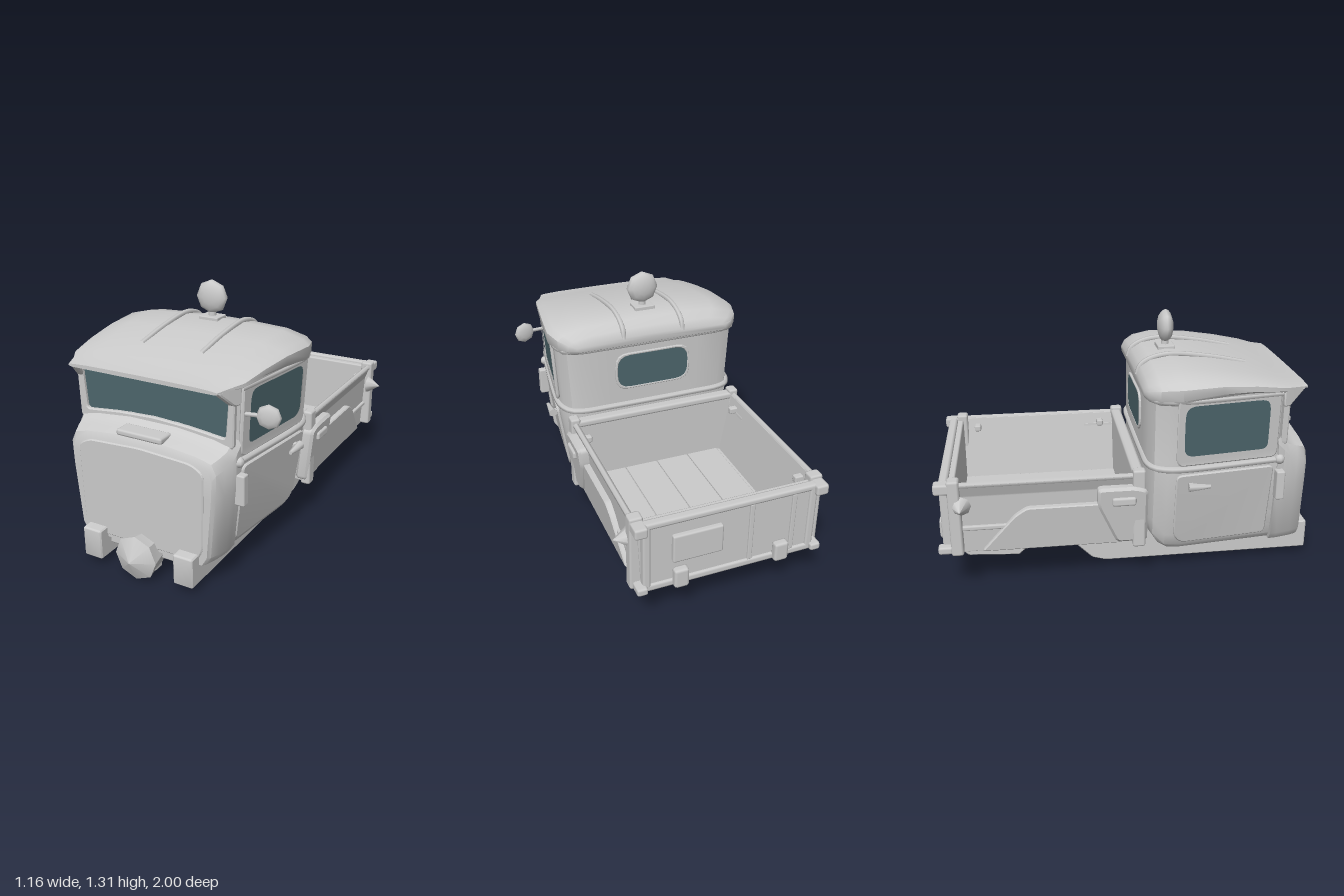
import * as THREE from 'three';
import { toCreasedNormals } from 'three/addons/utils/BufferGeometryUtils.js';
import { RoundedBoxGeometry } from 'three/addons/geometries/RoundedBoxGeometry.js';

const grey = new THREE.MeshStandardMaterial({ color: 0xcccccc });
const glass = new THREE.MeshStandardMaterial({ color: 0x4d666c });

export function createModel() {
  const root = new THREE.Group();
  const truck = new THREE.Group();
  truck.name = 'pickupTruck';
  truck.position.x = -0.035;
  root.add(truck);

  const add = (name, geo, mat = grey) => {
    const m = new THREE.Mesh(geo, mat);
    m.name = name;
    truck.add(m);
    return m;
  };
  const pair = (name, geo, mat) => {
    add(name + 'Left', geo, mat);
    add(name + 'Right', geo, mat).scale.x = -1;
  };
  // box given by its limits, with softened edges
  const box = (x0, x1, y0, y1, z0, z1, r = 0.008) =>
    new RoundedBoxGeometry(x1 - x0, y1 - y0, z1 - z0, 1, r)
      .translate((x0 + x1) / 2, (y0 + y1) / 2, (z0 + z1) / 2);
  const tube = (pts, r, n = 32) => new THREE.TubeGeometry(
    new THREE.CatmullRomCurve3(pts.map(p => new THREE.Vector3(...p)), false, 'centripetal'), n, r, 6);
  const mirrorRing = half => [...half, ...half.map(([x, y, z]) => [-x, y, z]).reverse()];

  // closed skin through equal-sized rings of points, capped at both ends
  function loft(rings, crease = 0.6) {
    const n = rings[0].length, pos = rings.flat(2), idx = [];
    const centre = r => [0, 1, 2].map(k => r.reduce((s, p) => s + p[k], 0) / n);
    const last = rings.length - 1, c0 = rings.length * n;
    pos.push(...centre(rings[0]), ...centre(rings[last]));
    for (let j = 0; j < n; j++) {
      const k = (j + 1) % n;
      for (let i = 0; i < last; i++) {
        const a = i * n + j, b = i * n + k;
        idx.push(a, b, b + n, a, b + n, a + n);
      }
      idx.push(c0, k, j, c0 + 1, last * n + j, last * n + k);
    }
    // make the faces point outwards
    const p = i => new THREE.Vector3().fromArray(pos, i * 3);
    let vol = 0;
    for (let i = 0; i < idx.length; i += 3) vol += p(idx[i]).dot(p(idx[i + 1]).cross(p(idx[i + 2])));
    if (vol < 0) idx.reverse();
    const g = new THREE.BufferGeometry();
    g.setAttribute('position', new THREE.Float32BufferAttribute(pos, 3));
    g.setIndex(idx);
    return toCreasedNormals(g, crease);
  }

  // polygon with rounded corners
  function rounded(path, pts, r) {
    const v = pts.map(p => new THREE.Vector2(...p));
    v.forEach((c, i) => {
      const to = q => c.clone().add(q.clone().sub(c).setLength(Math.min(r, q.distanceTo(c) * 0.45)));
      const a = to(v[(i + v.length - 1) % v.length]), b = to(v[(i + 1) % v.length]);
      i ? path.lineTo(a.x, a.y) : path.moveTo(a.x, a.y);
      path.quadraticCurveTo(c.x, c.y, b.x, b.y);
    });
    path.closePath();
    return path;
  }
  function plate(pts, depth, r = 0.03, hole, bevel = 0.006) {
    const s = rounded(new THREE.Shape(), pts, r);
    if (hole) s.holes.push(rounded(new THREE.Path(), hole, r));
    return new THREE.ExtrudeGeometry(s, { depth: depth - bevel, curveSegments: 4, bevelEnabled: bevel > 0,
      bevelSize: bevel, bevelThickness: bevel, bevelOffset: -bevel, bevelSegments: 1 });
  }
  // plate drawn in (z, y) and set on a side wall whose x is given by a function
  function sidePlate(wall, pts, depth, r, hole, bevel) {
    const turn = a => a && a.map(([z, y]) => [-z, y]);
    const g = plate(turn(pts), depth, r, turn(hole), bevel).rotateY(Math.PI / 2);
    const p = g.attributes.position;
    for (let i = 0; i < p.count; i++) p.setX(i, p.getX(i) + wall(p.getZ(i), p.getY(i)));
    g.computeVertexNormals();
    return toCreasedNormals(g, 0.6);
  }

  // cab shell: height, half width, rear inset
  const levels = [[0.15, 0.405, 0.11], [0.18, 0.43, 0.06], [0.24, 0.443, 0.015], [0.32, 0.456, 0],
    [0.6, 0.495, 0], [0.66, 0.488, 0], [1.02, 0.508, 0]];
  const cabWidth = y => {
    let i = 1;
    while (i < levels.length - 1 && levels[i][0] < y) i++;
    const [a, b] = [levels[i - 1], levels[i]];
    return a[1] + (b[1] - a[1]) * (y - a[0]) / (b[0] - a[0]);
  };
  const cabSide = (z, y) => cabWidth(y) * (1 - 0.13 * (z - 0.22) / 0.49);
  const outline = (y, w, inset = 0) => [[0.5, 0.045], [0.8, 0.055], [0.92, 0.08], [0.985, 0.14], [1, 0.22], [0.87, 0.71], [0.82, 0.735]]
    .map(([k, z]) => [k * w, y, Math.max(z, 0.05 + inset)]);
  add('cabShell', loft(levels.map(([y, w, s]) => mirrorRing(outline(y, w, s)))));
  for (const [name, y, r] of [['beltMoulding', 0.625, 0.017], ['gutterMoulding', 0.98, 0.016]]) {
    const h = outline(y, cabWidth(y)).slice(0, 6);
    add(name, tube([...h.slice().reverse(), ...h.map(([x, yy, z]) => [-x, yy, z])], r, 60));
  }

  // nose with curved scuttle: z, half width, top
  const noseRings = [[0.71, 0.44, 0.80], [0.745, 0.437, 0.765], [0.775, 0.43, 0.735], [0.82, 0.418, 0.72], [0.865, 0.4, 0.705], [0.88, 0.385, 0.68]];
  add('nose', loft(noseRings.map(([z, w, t]) => mirrorRing([[w * 0.85, 0.145, z], [w * 0.92, 0.19, z],
    [w * 0.99, 0.5, z], [w, t - 0.09, z], [w * 0.94, t - 0.04, z], [w * 0.75, t - 0.02, z], [w * 0.3, t, z]]))));
  add('frontPanel', plate([[-0.3, 0.16], [-0.335, 0.22], [-0.345, 0.62], [-0.28, 0.655], [0, 0.67],
    [0.28, 0.655], [0.345, 0.62], [0.335, 0.22], [0.3, 0.16]], 0.012, 0.03).translate(0, 0, 0.875));
  add('scuttleVent', box(-0.125, 0.125, 0.705, 0.737, 0.79, 0.88, 0.012));

  // windscreen and its frame
  const screen = [[-0.385, 0.745], [-0.2, 0.765], [0, 0.775], [0.2, 0.765], [0.385, 0.745], [0.402, 0.955], [0.2, 0.972], [0, 0.978], [-0.2, 0.972], [-0.402, 0.955]];
  add('windscreen', plate(screen, 0.008, 0.02, null, 0).translate(0, 0, 0.732), glass);
  add('windscreenFrame', plate([[-0.425, 0.70], [0.425, 0.70], [0.435, 1.0], [-0.435, 1.0]], 0.025, 0.02, screen).translate(0, 0, 0.733));

  // roof with front visor: z, half width, lower edge, crown
  const roof = [[0.03, 0.42, 0.985, 1.03], [0.05, 0.46, 0.97, 1.068], [0.1, 0.503, 0.96, 1.1], [0.2, 0.532, 0.96, 1.118],
    [0.4, 0.512, 0.99, 1.1], [0.57, 0.488, 0.995, 1.07], [0.72, 0.464, 0.985, 1.037], [0.78, 0.428, 0.985, 1.02], [0.85, 0.4, 0.987, 1.008]];
  add('roof', loft(roof.map(([z, w, b, t]) => {
    const h = t - b;
    return mirrorRing([[w - 0.02, b, z], [w, b + h * 0.2, z], [w, b + h * 0.54, z], [w * 0.94, b + h * 0.72, z],
      [w * 0.73, t - h * 0.09, z], [w * 0.4, t - h * 0.03, z], [w * 0.12, t, z]]);
  }), 0.8));
  pair('visorCheek', sidePlate(z => 0.42 - (z - 0.72) * 0.4, [[0.84, 0.99], [0.72, 1.01], [0.72, 0.91], [0.755, 0.91]], 0.03, 0.01));
  pair('roofRib', tube([[0.165, 1.02, 0.035], [0.165, 1.066, 0.05], [0.165, 1.1, 0.1], [0.165, 1.12, 0.2],
    [0.165, 1.1, 0.4], [0.165, 1.062, 0.59]], 0.014));

  // doors
  pair('doorLower', sidePlate(cabSide, [[0.18, 0.24], [0.22, 0.195], [0.68, 0.195], [0.69, 0.6], [0.18, 0.6]], 0.012, 0.03));
  const pane = [[0.21, 0.72], [0.24, 0.69], [0.655, 0.69], [0.655, 0.93], [0.63, 0.965], [0.24, 0.965], [0.21, 0.93]];
  pair('doorFrame', sidePlate(cabSide, [[0.18, 0.645], [0.705, 0.645], [0.705, 1.01], [0.18, 1.01]], 0.013, 0.04, pane));
  pair('doorWindow', sidePlate(cabSide, pane, 0.005, 0.02, null, 0), glass);
  pair('doorHinge', box(0.42, 0.475, 0.42, 0.575, 0.7, 0.745));
  const handle = new THREE.CylinderGeometry(0.024, 0.01, 0.11, 6).rotateX(-Math.PI / 2);
  pair('doorHandle', handle.translate(0.518, 0.54, 0.295));
  pair('handleBase', box(0.475, 0.515, 0.525, 0.555, 0.24, 0.27));
  pair('pillarFoot', new THREE.SphereGeometry(0.026, 8, 6).translate(0.435, 0.63, 0.72));

  // rear window
  const rear = [[-0.2, 0.735], [0.2, 0.735], [0.2, 0.92], [-0.2, 0.92]];
  add('rearWindow', plate(rear, 0.006, 0.07, null, 0).rotateY(Math.PI).translate(0, 0, 0.045), glass);
  add('rearWindowFrame', plate([[-0.212, 0.723], [0.212, 0.723], [0.212, 0.932], [-0.212, 0.932]], 0.01, 0.072, rear, 0.003)
    .rotateY(Math.PI).translate(0, 0, 0.048));

  // roof lamp
  add('lampBase', box(-0.055, 0.055, 1.105, 1.13, 0.16, 0.25, 0.005));
  add('lampStem', new THREE.CylinderGeometry(0.018, 0.022, 0.05, 8).translate(0, 1.14, 0.205));
  add('roofLamp', new THREE.SphereGeometry(0.087, 8, 8).rotateX(Math.PI / 2).scale(1, 1, 0.47).translate(0, 1.225, 0.205));

  // door mirror, on one side only
  add('mirrorArm', tube([[0.43, 0.855, 0.69], [0.49, 0.857, 0.68], [0.55, 0.857, 0.67]], 0.011, 6));
  add('mirrorHead', new THREE.SphereGeometry(0.06, 8, 6).rotateX(Math.PI / 2).scale(1, 1, 0.35).rotateY(0.2).translate(0.555, 0.855, 0.668));

  // load bed with outward leaning sides
  add('bedFloor', box(-0.42, 0.42, 0.22, 0.255, -0.94, 0.02));
  for (let i = 0; i < 4; i++) add('floorPlank' + i, box(-0.372 + i * 0.187, -0.189 + i * 0.187, 0.245, 0.263, -0.9, 0, 0.004));
  const wallGeo = plate([[0.435, 0.22], [0.452, 0.53], [0.478, 0.6], [0.448, 0.6], [0.388, 0.25], [0.388, 0.22]], 0.93, 0.004, null, 0);
  pair('bedSide', wallGeo.translate(0, 0, -0.93));
  pair('bedRail', tube([[0.463, 0.595, 0], [0.463, 0.595, -0.45], [0.463, 0.595, -0.93]], 0.016, 4));
  pair('sideStrake', box(0.43, 0.458, 0.345, 0.37, -0.88, -0.1));
  add('bedFront', box(-0.46, 0.46, 0.22, 0.6, -0.025, 0.025));
  add('bedFrontRail', box(-0.48, 0.48, 0.575, 0.615, -0.03, 0.03, 0.015));
  pair('bedFrontPost', box(0.435, 0.488, 0.21, 0.63, -0.03, 0.035, 0.012));
  for (const z of [-0.1, -0.81]) pair('ropeHook', box(0.4, 0.45, 0.53, 0.565, z - 0.018, z + 0.018));
  pair('bedRearPost', box(0.42, 0.488, 0.225, 0.625, -0.925, -0.865, 0.012));
  pair('tailLamp', new THREE.ConeGeometry(0.05, 0.075, 8).rotateZ(-Math.PI / 2).translate(0.51, 0.49, -0.865));

  // side fenders, leaning with the bed sides
  const lean = x => (z, y) => x + 0.1 * (y - 0.235);
  pair('wheelArch', sidePlate(lean(0.425), [[-0.12, 0.46], [-0.55, 0.46], [-0.61, 0.42], [-0.78, 0.225], [-0.08, 0.225]], 0.032, 0.02));
  pair('sideBox', sidePlate(lean(0.42), [[0.045, 0.53], [-0.02, 0.55], [-0.205, 0.55], [-0.205, 0.45], [-0.11, 0.235], [0.045, 0.235]], 0.055, 0.025, null, 0.014));
  pair('sideMarker', box(0.48, 0.515, 0.455, 0.5, -0.135, -0.015, 0.012));

  // tailgate
  add('tailgate', box(-0.435, 0.435, 0.24, 0.595, -0.955, -0.89));
  add('tailgateTopRail', box(-0.44, 0.44, 0.575, 0.61, -0.967, -0.92, 0.014));
  add('tailgateFootRail', box(-0.44, 0.44, 0.225, 0.265, -0.967, -0.92, 0.014));
  pair('tailgateEdge', box(0.4, 0.44, 0.24, 0.6, -0.967, -0.92, 0.012));
  pair('tailgateLatch', box(0.42, 0.485, 0.555, 0.61, -0.99, -0.9, 0.012));
  pair('tailgatePivot', box(0.42, 0.475, 0.23, 0.27, -0.99, -0.9, 0.012));
  pair('tailgateHinge', box(0.22, 0.295, 0.225, 0.33, -0.995, -0.95, 0.015));
  for (const x of [-0.32, -0.1]) add('tailgateRib', box(x - 0.012, x + 0.012, 0.26, 0.58, -0.965, -0.945, 0.005));
  add('rearPlate', box(0.05, 0.3, 0.37, 0.52, -0.982, -0.95, 0.01));

  // chassis
  pair('chassisRail', sidePlate(() => 0.212, [[0.94, 0.2], [0.94, 0.045], [-0.15, 0.045], [-0.22, 0.065], [-0.35, 0.195], [-0.51, 0.195],
    [-0.6, 0.112], [-0.86, 0.128], [-0.89, 0.16], [-0.89, 0.225], [0, 0.225]], 0.1, 0.01));
  for (const [z, y] of [[0.83, 0.1], [0.2, 0.125], [-0.13, 0.14]]) add('crossMember', box(-0.23, 0.23, y, 0.19, z - 0.03, z + 0.03));

  // front motor and drive shaft
  const profile = [[0, 0.76], [0.06, 0.77], [0.095, 0.82], [0.1, 0.88], [0.115, 0.945], [0, 1.0]].map(p => new THREE.Vector2(...p));
  add('motorHousing', toCreasedNormals(new THREE.LatheGeometry(profile, 8).rotateX(Math.PI / 2).translate(0, 0.121, 0), 0.5));
  add('motorFoot', box(-0.05, 0.05, 0.01, 0.05, 0.795, 0.86));
  add('driveShaft', new THREE.CylinderGeometry(0.024, 0.024, 0.65, 10).rotateX(Math.PI / 2).translate(0, 0.12, 0.46));
  add('shaftJoint', new THREE.SphereGeometry(0.035, 10, 8).translate(0, 0.12, 0.16));
  return root;
}
